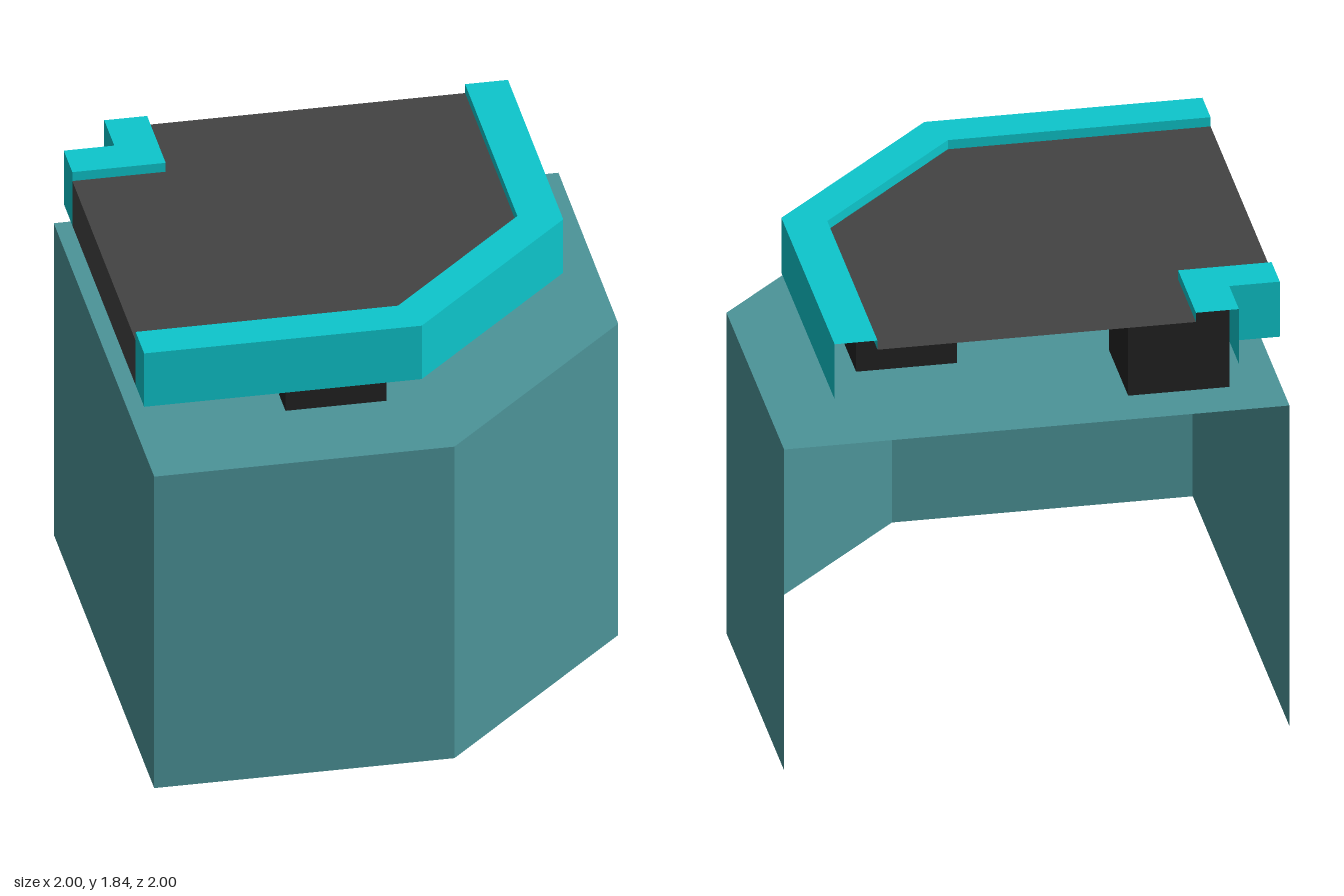
import * as THREE from 'three';

const mat = (name, color) => {
  const m = new THREE.MeshStandardMaterial({ color, side: THREE.DoubleSide, flatShading: true });
  m.name = name;
  return m;
};

// Vertical strip of flat panels following [x, z] points
function wallGeometry(path, y0, y1) {
  const pos = [];
  for (let i = 0; i < path.length - 1; i++) {
    const [ax, az] = path[i], [bx, bz] = path[i + 1];
    pos.push(ax, y0, az, bx, y0, bz, bx, y1, bz);
    pos.push(ax, y0, az, bx, y1, bz, ax, y1, az);
  }
  const g = new THREE.BufferGeometry();
  g.setAttribute('position', new THREE.Float32BufferAttribute(pos, 3));
  g.computeVertexNormals();
  return g;
}

// Horizontal sheet from an [x, z] outline
function sheetGeometry(outline, y) {
  const shape = new THREE.Shape(outline.map(([x, z]) => new THREE.Vector2(x, -z)));
  return new THREE.ShapeGeometry(shape).rotateX(-Math.PI / 2).translate(0, y, 0);
}

export function createModel() {
  const model = new THREE.Group();
  model.name = 'corneredPlatform';

  const baseMat = mat('dusty teal', 0x4c9499);
  const rimMat = mat('bright cyan', 0x0dc6cc);
  const deckMat = mat('dark grey', 0x434343);
  const padMat = mat('near black', 0x222222);

  const add = (name, geometry, material, parent = model) => {
    const mesh = new THREE.Mesh(geometry, material);
    mesh.name = name;
    parent.add(mesh);
  };
  const group = (name) => {
    const g = new THREE.Group();
    g.name = name;
    model.add(g);
    return g;
  };

  // Base shell with one chamfered corner, open at the back and below
  const base = group('base');
  const baseLine = [[-1, -1], [-1, 1], [0.19, 1], [1, 0.19], [1, -1]];
  add('baseWalls', wallGeometry(baseLine, 0, 1.4), baseMat, base);
  add('baseTop', sheetGeometry(baseLine, 1.4), baseMat, base);

  // Three square supports, sunk slightly through the base top
  const supports = group('supports');
  for (const [x, z] of [[0.4, -0.2], [-0.2, 0.4], [-0.6, -0.6]]) {
    const s = 0.2;
    const square = [[x - s, z - s], [x + s, z - s], [x + s, z + s], [x - s, z + s], [x - s, z - s]];
    add('support', wallGeometry(square, 1.385, 1.795), padMat, supports);
  }

  // Inner outlines shared by the deck and the raised rims
  const frontInner = [[-1, 0.63], [0.04, 0.63], [0.63, 0.04], [0.63, -1]];
  const cornerInner = [[-0.63, -1], [-0.63, -0.63], [-1, -0.63]];

  // Recessed deck and its exposed side
  const deck = group('deck');
  add('deckTop', sheetGeometry([...frontInner, ...cornerInner], 1.8), deckMat, deck);
  add('deckSide', wallGeometry([[-1, -0.63], [-1, 0.63]], 1.6, 1.8), deckMat, deck);

  // Rims: outer skirt, flat top and low inner lip
  const addRim = (name, outer, inner) => {
    const rim = group(name);
    add('rimSkirt', wallGeometry(outer, 1.6, 1.84), rimMat, rim);
    add('rimTop', sheetGeometry([...outer, ...[...inner].reverse()], 1.84), rimMat, rim);
    add('rimLip', wallGeometry(inner, 1.8, 1.84), rimMat, rim);
    add('rimEnd', wallGeometry([[-1, outer.find((p) => p[0] === -1)[1]],
      [-1, inner.find((p) => p[0] === -1)[1]]], 1.6, 1.84), rimMat, rim);
  };
  addRim('frontRim', [[-1, 0.8], [0.1, 0.8], [0.8, 0.1], [0.8, -1]], frontInner);
  addRim('cornerRim', [[-0.8, -1], [-0.8, -0.8], [-1, -0.8]], cornerInner);

  return model;
}
